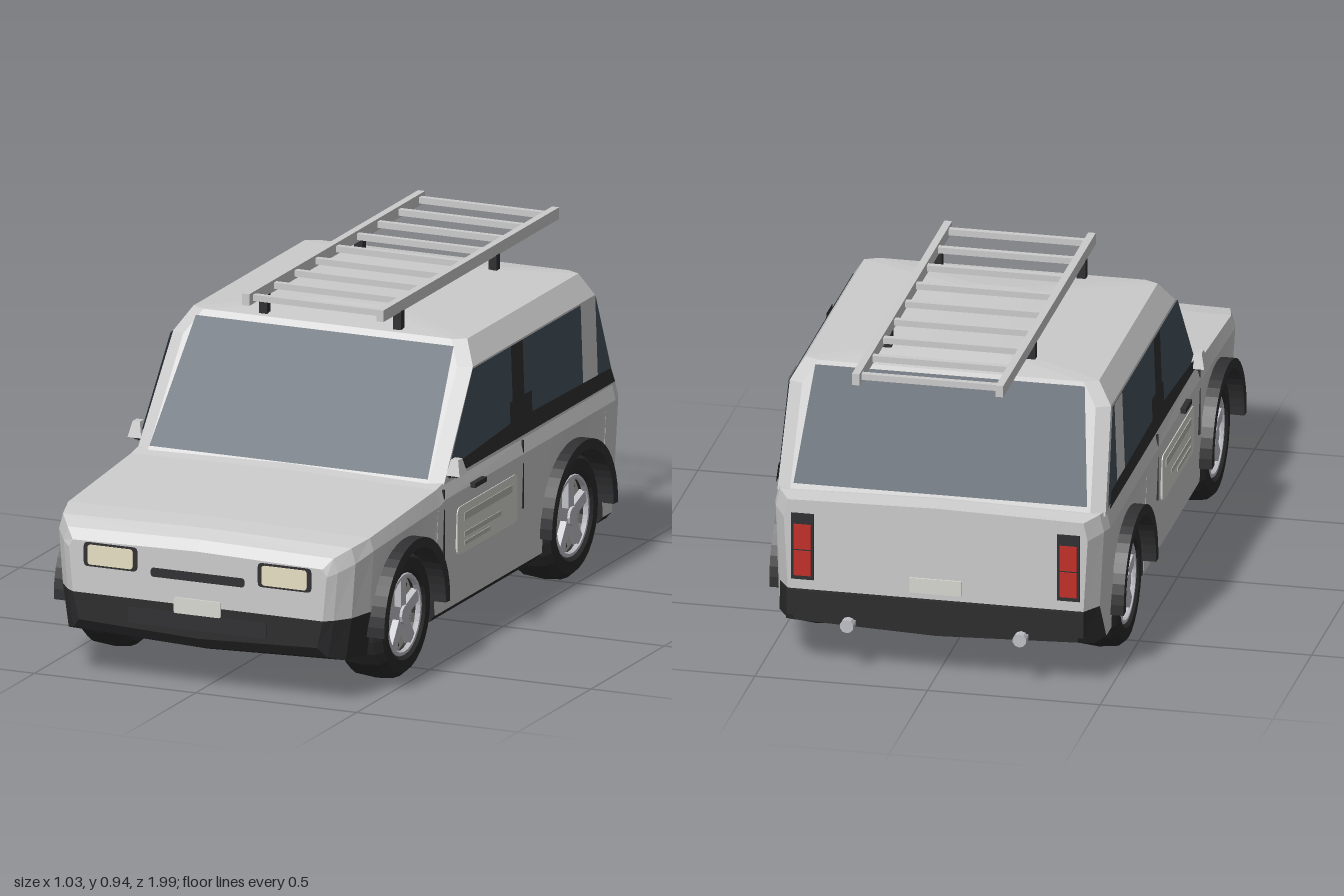
import * as THREE from 'three';

const COLORS = {
  body: 0xcccccc, black: 0x2c2c2e, floor: 0x1a1a1b, glass: 0x44525e, trim: 0x303032,
  lamp: 0xe8dfc4, red: 0xc23028, plate: 0xd8d8d2, line: 0xb8b8b0, tyre: 0x2a2a2b, rim: 0xc0c0c8,
};
const mats = {};
for (const k in COLORS) {
  mats[k] = new THREE.MeshStandardMaterial({ color: COLORS[k], flatShading: true, side: THREE.DoubleSide });
}

function add(parent, name, geo, mat, x = 0, y = 0, z = 0) {
  const m = new THREE.Mesh(geo, mats[mat]);
  m.name = name;
  m.position.set(x, y, z);
  parent.add(m);
  return m;
}
const box = (parent, name, mat, w, h, d, x, y, z) =>
  add(parent, name, new THREE.BoxGeometry(w, h, d), mat, x, y, z);

function fromTriangles(pos) {
  const g = new THREE.BufferGeometry();
  g.setAttribute('position', new THREE.Float32BufferAttribute(pos.flat(), 3));
  g.computeVertexNormals();
  return g;
}
const fan = (p) => p.slice(2).flatMap((q, i) => [p[0], p[i + 1], q]);

// Skin a row of cross-sections and close both ends
function loft(sections, closed) {
  const out = [];
  const n = sections[0].length;
  for (let i = 0; i + 1 < sections.length; i++) {
    for (let j = 0; j < (closed ? n : n - 1); j++) {
      const k = (j + 1) % n, A = sections[i], B = sections[i + 1];
      out.push(A[j], B[j], B[k], A[j], B[k], A[k]);
    }
  }
  out.push(...fan(sections[0]), ...fan([...sections.at(-1)].reverse()));
  return fromTriangles(out);
}

function roundedPlate(w, h, r, depth) {
  const s = new THREE.Shape(), x = w / 2, y = h / 2;
  s.moveTo(-x + r, -y).lineTo(x - r, -y).quadraticCurveTo(x, -y, x, -y + r).lineTo(x, y - r)
    .quadraticCurveTo(x, y, x - r, y).lineTo(-x + r, y).quadraticCurveTo(-x, y, -x, y - r)
    .lineTo(-x, -y + r).quadraticCurveTo(-x, -y, -x + r, -y);
  return new THREE.ExtrudeGeometry(s, { depth, bevelEnabled: false, curveSegments: 4 });
}

// Lower body stations: z, half width, shoulder, top, bottom, bumper line
const STATIONS = [
  [0.985, 0.40, 0.38, 0.41, 0.17, 0.25], [0.965, 0.425, 0.39, 0.44, 0.14, 0.25],
  [0.92, 0.46, 0.41, 0.463, 0.125, 0.25], [0.84, 0.48, 0.43, 0.475, 0.12, 0.25],
  [0.40, 0.485, 0.45, 0.505, 0.11, 0.13], [0.36, 0.485, 0.46, 0.512, 0.11, 0.13],
  [-0.80, 0.485, 0.46, 0.52, 0.11, 0.13], [-0.84, 0.475, 0.46, 0.52, 0.12, 0.235],
  [-0.895, 0.44, 0.45, 0.512, 0.14, 0.235],
];
const AXLES = [0.615, -0.53], ARCH = 0.205, ARCH_Y = 0.19;

function stationAt(z) {
  const i = Math.max(1, STATIONS.findIndex((s) => s[0] <= z + 1e-6));
  const a = STATIONS[i - 1], b = STATIONS[i], t = (a[0] - z) / (a[0] - b[0]);
  const s = a.map((v, j) => v + (b[j] - v) * t);
  for (const c of AXLES) {
    const d = Math.abs(z - c);
    if (d <= ARCH + 1e-6) s[4] = ARCH_Y + Math.sqrt(Math.max(0, ARCH * ARCH - d * d));
  }
  s[5] = Math.max(s[5], s[4]);
  return s;
}

function buildBody(car) {
  const zs = STATIONS.map((s) => s[0]);
  for (const c of AXLES) {
    zs.push(c + ARCH + 0.001, c - ARCH - 0.001);
    for (let i = 0; i <= 14; i++) zs.push(c + ARCH * Math.cos((i / 14) * Math.PI));
  }
  const rows = [...new Set(zs)].sort((a, b) => b - a).map(stationAt);
  add(car, 'bodyShell', loft(rows.map(([z, w, sh, top, , split]) => [
    [w - 0.012, split, z], [w, sh, z], [w - 0.012, top - 0.008, z], [0, top, z],
    [-w + 0.012, top - 0.008, z], [-w, sh, z], [-w + 0.012, split, z],
  ]), false), 'body');
  add(car, 'bumpersAndSills', loft(rows.map(([z, w, , , bot, split]) => [
    [-w + 0.012, split, z], [-w + 0.03, bot, z], [0, bot - 0.015, z], [w - 0.03, bot, z], [w - 0.012, split, z],
  ]), false), 'black');
  box(car, 'floor', 'floor', 0.62, 0.28, 1.56, 0, 0.245, 0.04);
}

// Cabin: chamfered rings stacked upwards
function cabinRing(y, w, zf, zr) {
  const half = [[w, zr + 0.02], [w, zf - 0.02], [w - 0.04, zf]];
  const back = [w - 0.04, zr];
  return [...half, ...half.map(([x, z]) => [-x, z]).reverse(), [-back[0], back[1]], back].map(([x, z]) => [x, y, z]);
}
const windscreenZ = (y) => 0.37 - 0.76 * (y - 0.5);
const tailgateZ = (y) => -0.84 + 0.4 * (y - 0.5);
const cabinX = (y) => 0.475 - 0.035 * (y - 0.5);

function buildCabin(car) {
  add(car, 'cabin', loft([
    cabinRing(0.50, 0.475, 0.37, -0.84), cabinRing(0.79, 0.465, 0.15, -0.724),
    cabinRing(0.855, 0.425, 0.10, -0.698), cabinRing(0.874, 0.10, -0.08, -0.55),
  ], true), 'body');
  const panel = (name, mat, pts) => add(car, name, fromTriangles(fan(pts)), mat);
  const pane = (name, x0, x1, y0, y1, zAt, off) => panel(name, 'glass',
    [[-x0, y0], [x0, y0], [x1, y1], [-x1, y1]].map(([x, y]) => [x, y, zAt(y) + off]));
  pane('windscreen', 0.432, 0.40, 0.515, 0.84, windscreenZ, 0.007);
  pane('rearWindow', 0.425, 0.39, 0.53, 0.845, tailgateZ, -0.007);

  for (const s of [1, -1]) {
    const side = (name, mat, off, pts) => {
      const p = pts.map(([z, y]) => [s * (cabinX(y) + off), y, z]);
      panel(name, mat, s > 0 ? p.reverse() : p);
    };
    side('sideWindow', 'glass', 0.004, [[0.335, 0.52], [0.14, 0.787], [-0.70, 0.787], [-0.80, 0.52]]);
    side('rearPillar', 'body', 0.007, [[-0.59, 0.56], [-0.59, 0.79], [-0.69, 0.79], [-0.69, 0.56]]);
    side('beltTrim', 'trim', 0.009, [[0.335, 0.515], [0.30, 0.545], [-0.1, 0.57], [-0.775, 0.56], [-0.80, 0.515]]);
    side('doorPillar', 'trim', 0.009, [[-0.11, 0.56], [-0.11, 0.79], [-0.19, 0.79], [-0.19, 0.56]]);
    side('pillarFoot', 'trim', 0.009, [[-0.09, 0.56], [-0.09, 0.63], [-0.24, 0.63], [-0.24, 0.56]]);
  }
}

function buildWheel(parent, s, z) {
  const g = new THREE.Group();
  g.name = 'wheel';
  g.position.set(s * 0.408, 0.187, z);
  g.rotation.y = s > 0 ? 0 : Math.PI;
  parent.add(g);
  const profile = [[0.118, 0.06], [0.13, 0.072], [0.165, 0.07], [0.182, 0.05], [0.187, 0],
    [0.182, -0.05], [0.165, -0.07], [0.06, -0.07], [0.118, -0.02], [0.118, 0.06]].map(([r, h]) => new THREE.Vector2(r, h));
  add(g, 'tyre', new THREE.LatheGeometry(profile, 28), 'tyre').rotation.z = -Math.PI / 2;
  add(g, 'wheelDisc', new THREE.CylinderGeometry(0.118, 0.118, 0.03, 28), 'line', 0.02).rotation.z = Math.PI / 2;
  add(g, 'rimRing', new THREE.TorusGeometry(0.113, 0.009, 6, 28), 'rim', 0.058).rotation.y = Math.PI / 2;
  add(g, 'hub', new THREE.CylinderGeometry(0.028, 0.028, 0.03, 10), 'rim', 0.055).rotation.z = Math.PI / 2;
  for (let i = 0; i < 5; i++) {
    const a = (i / 5) * Math.PI * 2;
    box(g, 'spoke', 'rim', 0.02, 0.09, 0.036, 0.052, 0.065 * Math.cos(a), 0.065 * Math.sin(a)).rotation.x = a;
    const b = a + Math.PI / 5;
    box(g, 'rimGap', 'black', 0.006, 0.045, 0.045, 0.035, 0.078 * Math.cos(b), 0.078 * Math.sin(b)).rotation.x = b;
  }
}

function buildArch(car, s, z) {
  const shape = new THREE.Shape();
  shape.absarc(0, 0, 0.225, -0.05, Math.PI + 0.05, false);
  shape.absarc(0, 0, 0.195, Math.PI + 0.05, -0.05, true);
  const geo = new THREE.ExtrudeGeometry(shape, { depth: 0.06, bevelEnabled: false, curveSegments: 12 });
  geo.rotateY(Math.PI / 2);
  add(car, 'wheelArch', geo, 'trim', s > 0 ? 0.453 : -0.513, 0.187, z);
}

function buildSides(car) {
  for (const s of [1, -1]) {
    for (const z of AXLES) {
      buildWheel(car, s, z);
      buildArch(car, s, z);
    }
    // Door details
    box(car, 'doorHandle', 'trim', 0.025, 0.014, 0.08, s * 0.487, 0.46, 0.15);
    box(car, 'doorSeam', 'trim', 0.006, 0.2, 0.006, s * 0.481, 0.39, 0.365);
    box(car, 'doorSeam', 'trim', 0.006, 0.2, 0.006, s * 0.481, 0.40, -0.175);
    const sign = add(car, 'doorPanel', roundedPlate(0.41, 0.14, 0.02, 0.006), 'plate', s * 0.48, 0.345, 0.075);
    sign.rotation.y = s * Math.PI / 2;
    for (const [z0, z1, y, h] of [[0.235, -0.09, 0.38, 0.022], [0.235, -0.015, 0.328, 0.014], [0.235, 0.06, 0.302, 0.012]]) {
      box(car, 'panelStripe', 'line', 0.004, h, z0 - z1, s * 0.486, y, (z0 + z1) / 2);
    }
    // Mirror
    box(car, 'mirrorStem', 'trim', 0.04, 0.02, 0.03, s * 0.48, 0.525, 0.305);
    const mirror = new THREE.CylinderGeometry(0.016, 0.03, 0.045, 4, 1).rotateY(Math.PI / 4);
    add(car, 'mirror', mirror, 'body', s * 0.494, 0.545, 0.305).scale.z = 1.25;
  }
}

function buildEnds(car) {
  const front = (name, mat, w, h, r, x, y, z, d = 0.01) => add(car, name, roundedPlate(w, h, r, d), mat, x, y, z);
  for (const s of [1, -1]) {
    front('headlightFrame', 'trim', 0.165, 0.07, 0.012, s * 0.27, 0.365, 0.978);
    front('headlight', 'lamp', 0.14, 0.058, 0.01, s * 0.27, 0.365, 0.981);
    // Tail lamps and exhausts
    box(car, 'tailLampFrame', 'trim', 0.065, 0.2, 0.02, s * 0.385, 0.365, -0.889);
    for (const y of [0.315, 0.395]) box(car, 'tailLamp', 'red', 0.05, 0.075, 0.02, s * 0.385, y, -0.893);
    add(car, 'exhaust', new THREE.CylinderGeometry(0.02, 0.02, 0.12, 10), 'rim', s * 0.25, 0.145, -0.87).rotation.x = Math.PI / 2;
  }
  front('grilleSlot', 'trim', 0.29, 0.026, 0.01, 0, 0.335, 0.978);
  front('lowerGrille', 'trim', 0.43, 0.046, 0.012, 0, 0.202, 0.979);
  front('frontPlate', 'plate', 0.145, 0.046, 0.006, 0, 0.247, 0.98);
  box(car, 'rearBumper', 'black', 0.86, 0.075, 0.03, 0, 0.195, -0.889);
  box(car, 'rearPlate', 'plate', 0.15, 0.045, 0.012, 0, 0.275, -0.894);
}

function buildLadder(car) {
  const g = new THREE.Group();
  g.name = 'roofLadder';
  car.add(g);
  for (const s of [1, -1]) {
    box(g, 'ladderRail', 'body', 0.022, 0.034, 1.2, s * 0.208, 0.927, -0.4);
    for (const z of [0.07, -0.58]) box(g, 'ladderMount', 'trim', 0.025, 0.06, 0.025, s * 0.208, 0.882, z);
  }
  for (let i = 0; i < 9; i++) box(g, 'ladderRung', 'body', 0.4, 0.018, 0.018, 0, 0.927, 0.165 - i * 0.1415);
}

export function createModel() {
  const car = new THREE.Group();
  car.name = 'car';
  buildBody(car);
  buildCabin(car);
  buildSides(car);
  buildEnds(car);
  buildLadder(car);
  return car;
}
